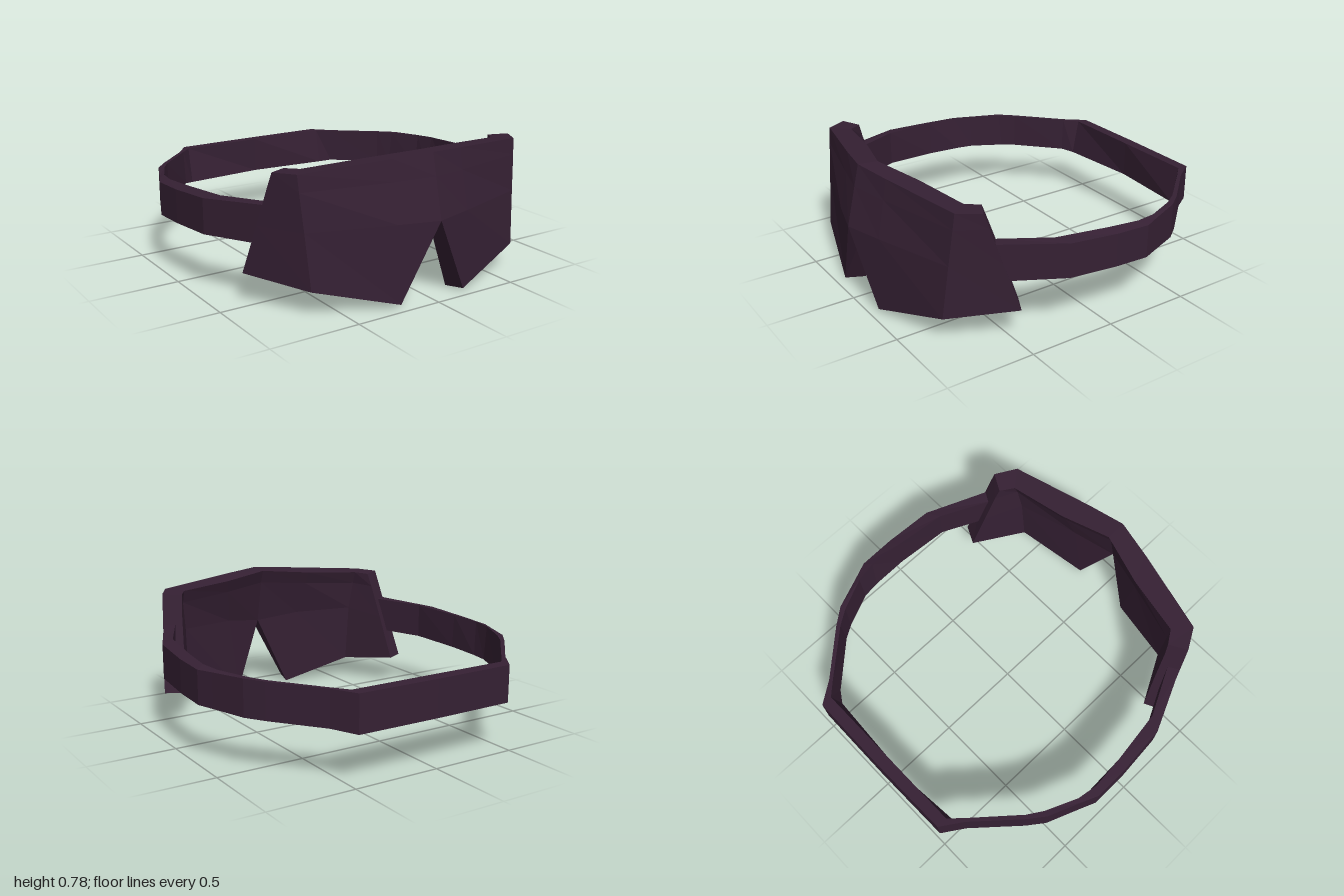
import * as THREE from 'three';

const mirror = (section) => section.map(([x, y, z]) => [-x, y, z]);

// Joins closed cross-sections into a faceted solid with capped ends.
function loft(sections) {
  const pos = [];
  const tri = (a, b, c) => {
    const [A, B, C] = [a, b, c].map((p) => new THREE.Vector3(...p));
    const area = B.clone().sub(A).cross(C.clone().sub(A)).length();
    if (area > 1e-6) pos.push(...a, ...b, ...c);
  };
  const n = sections[0].length;
  for (let i = 0; i < sections.length - 1; i++) {
    const s = sections[i], t = sections[i + 1];
    for (let k = 0; k < n; k++) {
      const m = (k + 1) % n;
      tri(s[k], s[m], t[m]);
      tri(s[k], t[m], t[k]);
    }
  }
  const first = sections[0], last = sections[sections.length - 1];
  // Caps are strips running from the outer wall to the inner wall
  for (let k = 0; k < n / 2 - 1; k++) {
    const j = n - 1 - k;
    tri(first[k], first[j], first[j - 1]);
    tri(first[k], first[j - 1], first[k + 1]);
    tri(last[k], last[k + 1], last[j - 1]);
    tri(last[k], last[j - 1], last[j]);
  }
  const g = new THREE.BufferGeometry();
  g.setAttribute('position', new THREE.Float32BufferAttribute(pos, 3));
  g.computeVertexNormals();
  return g;
}

export function createModel() {
  const cloth = new THREE.MeshStandardMaterial({ color: 0x352033, flatShading: true });
  cloth.name = 'dark plum cloth';
  const group = new THREE.Group();
  group.name = 'eyeMask';

  // Mask columns from centre to temple: outer wall top to bottom, then inner wall bottom to top.
  // The lower rows meet at the notch tip in the centre; the inner wall is recessed under its top lip.
  const half = [
    [[0, 0.78, 0.92], [0, 0.66, 0.948], [0, 0.44, 1.0], [0, 0.44, 1.0],
      [0, 0.43, 0.89], [0, 0.43, 0.89], [0, 0.69, 0.835], [0, 0.77, 0.805]],
    [[0.22, 0.765, 0.875], [0.22, 0.65, 0.893], [0.225, 0.44, 0.935], [0.205, 0.015, 0.95],
      [0.18, 0.0, 0.835], [0.25, 0.47, 0.81], [0.285, 0.67, 0.75], [0.29, 0.745, 0.72]],
    [[0.70, 0.73, 0.76], [0.695, 0.64, 0.77], [0.68, 0.44, 0.79], [0.66, 0.14, 0.82],
      [0.585, 0.13, 0.72], [0.60, 0.48, 0.705], [0.62, 0.65, 0.685], [0.62, 0.725, 0.66]],
    [[0.77, 0.725, 0.64], [0.783, 0.64, 0.613], [0.812, 0.44, 0.553], [0.853, 0.17, 0.47],
      [0.745, 0.17, 0.415], [0.71, 0.44, 0.495], [0.685, 0.64, 0.56], [0.67, 0.72, 0.585]],
  ];
  const columns = [...half.slice(1).reverse().map(mirror), ...half];
  const mask = new THREE.Mesh(loft(columns), cloth);
  mask.name = 'mask';
  group.add(mask);

  // Strap stations from temple to back: outer x, z, inner top x, z, inner bottom x, z, outer top drop
  const stations = [
    [0.79, 0.59, 0.73, 0.56, 0.73, 0.56, 0],
    [0.95, 0.24, 0.87, 0.28, 0.87, 0.28, 0.01],
    [0.972, -0.04, 0.91, -0.03, 0.90, -0.03, 0.015],
    [0.972, -0.25, 0.925, -0.22, 0.90, -0.24, 0.015],
    [0.934, -0.34, 0.905, -0.34, 0.89, -0.34, 0.01],
    [0.857, -0.53, 0.825, -0.52, 0.81, -0.53, 0],
    [0.785, -0.625, 0.768, -0.608, 0.765, -0.605, 0],
    [0.565, -0.87, 0.55, -0.855, 0.545, -0.845, 0],
    [0.48, -0.995, 0.48, -0.93, 0.48, -0.89, 0],
    [0, -1.0, 0, -0.93, 0, -0.93, 0],
  ];
  const topY = (z) => 0.525 + 0.045 * z;
  const bottomY = (z) => (z < -0.88 ? 0.272 : 0.32 + 0.042 * z);
  const side = stations.map(([ox, oz, tx, tz, bx, bz, drop]) => [
    [ox, topY(oz) - drop, oz], [ox, bottomY(oz), oz], [bx, bottomY(bz), bz], [tx, topY(tz), tz],
  ]);
  const strap = new THREE.Mesh(loft([...side, ...side.slice(0, -1).reverse().map(mirror)]), cloth);
  strap.name = 'headStrap';
  group.add(strap);

  return group;
}
